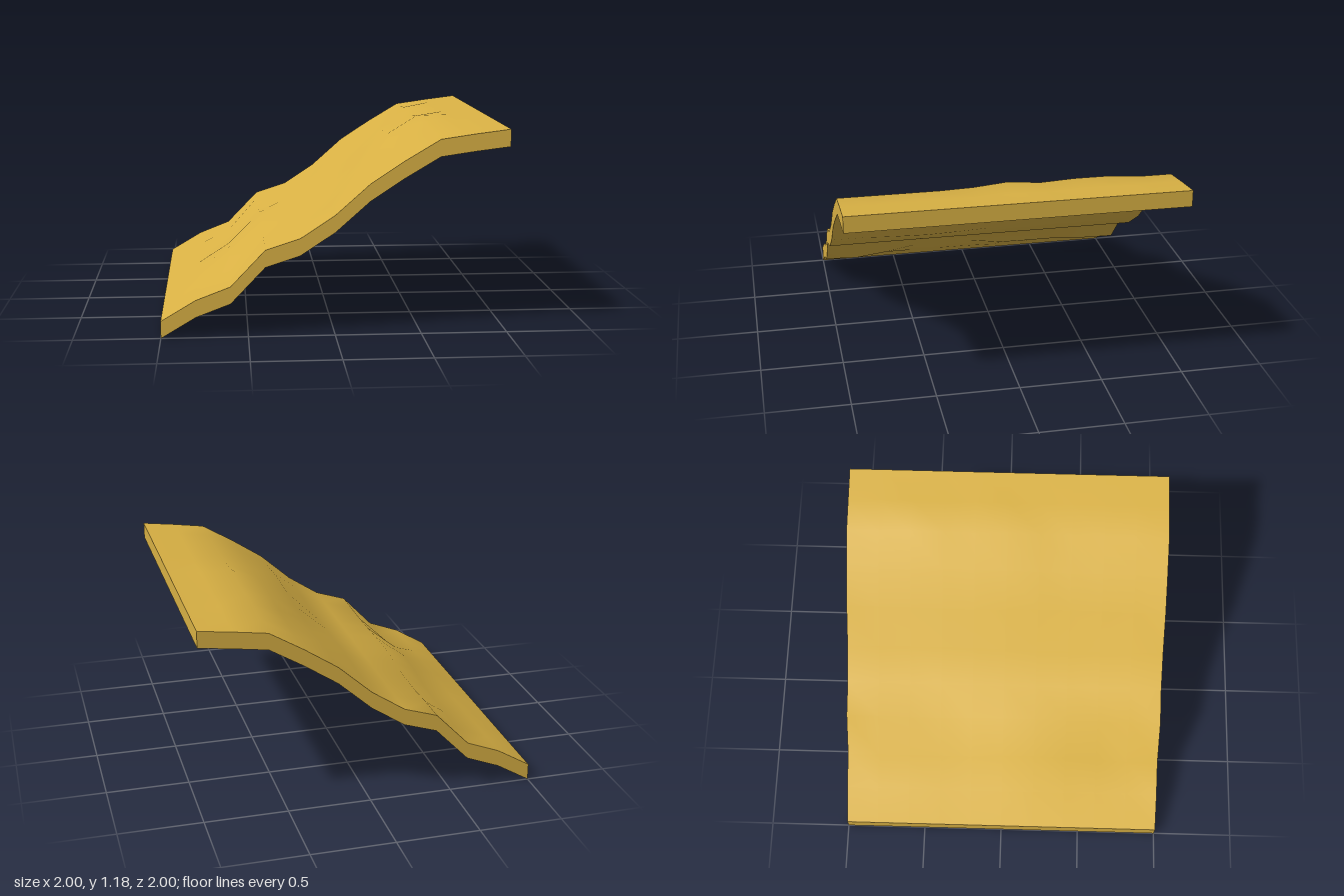
import * as THREE from 'three';

// Top height of the slope at each 0.2 step from x = -1 to x = 1
const profile = [0.1, 0.219, 0.298, 0.505, 0.57, 0.702, 0.88, 1.012, 1.131, 1.16, 1.185];

// Local swells and dips: [x, z, rise, half-width along z]
const bumps = [
  [-0.8, -0.3, -0.008, 0.4],
  [-0.6, 0.2, 0.065, 0.6], [-0.6, -0.5, 0.02, 0.4], [-0.6, 0.8, -0.012, 0.3],
  [-0.4, 0.1, 0.014, 0.5], [-0.4, -0.5, -0.018, 0.4],
  [0, -0.4, 0.012, 0.4], [0, 0.4, -0.016, 0.5],
  [0.2, -0.3, -0.014, 0.4], [0.2, 0.4, 0.014, 0.5],
  [0.4, -0.1, 0.022, 0.5],
  [0.6, 0, 0.025, 0.3], [0.6, -0.5, 0.022, 0.3],
];

function heightAt(x, z) {
  let h = profile[Math.round((x + 1) * 5)];
  for (const [bx, bz, rise, width] of bumps) {
    const d = Math.abs(z - bz) / width;
    if (Math.abs(x - bx) < 0.05 && d < 1) h += rise * (0.5 + 0.5 * Math.cos(Math.PI * d));
  }
  return h;
}

export function createModel() {
  const group = new THREE.Group();
  group.name = 'terrainSlope';

  // Slab of even thickness draped over the slope, with sharp borders
  const thickness = 0.1;
  const geometry = new THREE.BoxGeometry(2, thickness, 2, 10, 1, 10);
  const p = geometry.attributes.position;
  for (let i = 0; i < p.count; i++) {
    const top = heightAt(p.getX(i), p.getZ(i));
    p.setY(i, p.getY(i) > 0 ? top : top - thickness);
  }
  geometry.computeVertexNormals();

  const slab = new THREE.Mesh(geometry, new THREE.MeshStandardMaterial({ color: 0xd9b144 }));
  slab.name = 'groundSlab';
  group.add(slab);
  return group;
}
